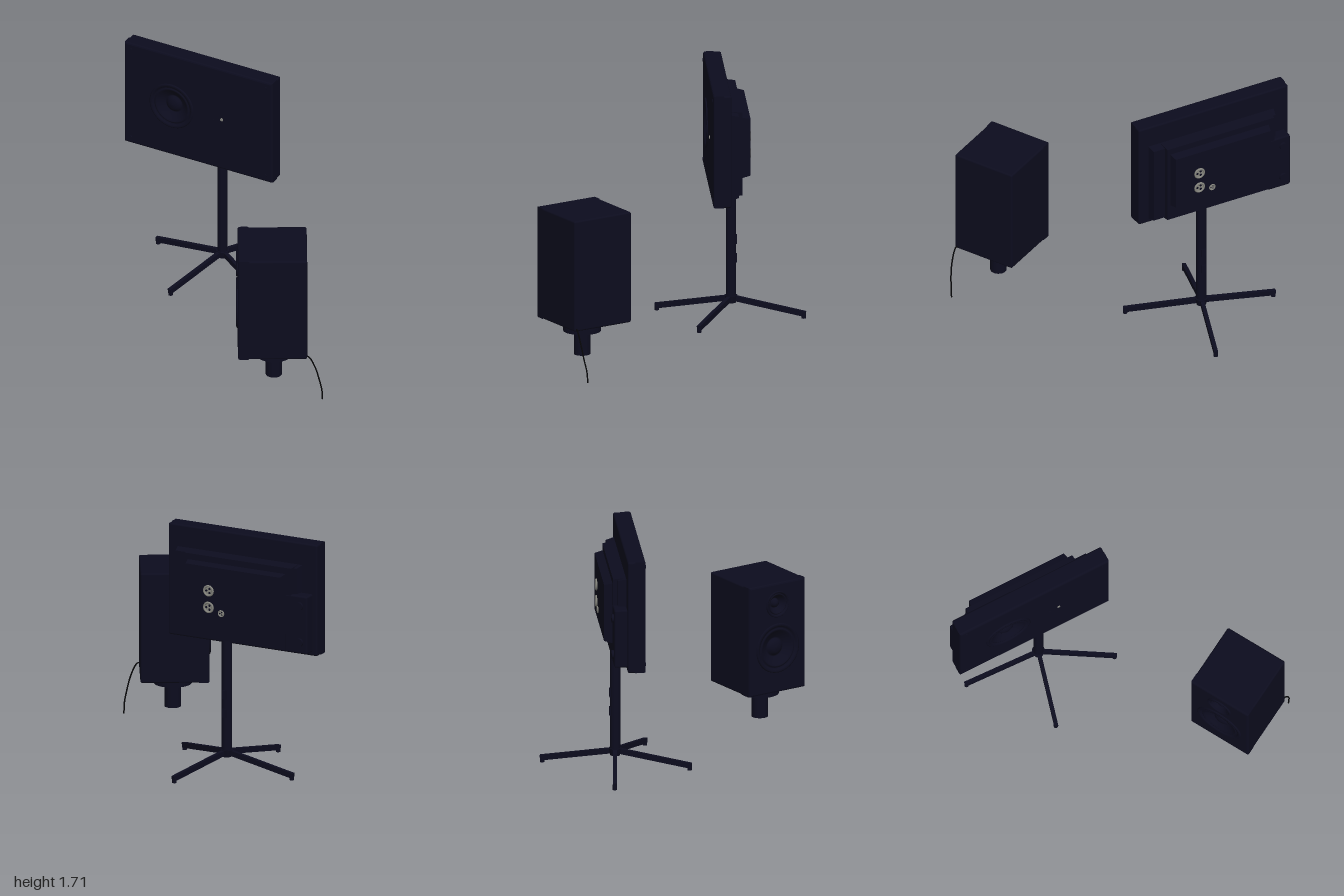
import * as THREE from 'three';
import { RoundedBoxGeometry } from 'three/addons/geometries/RoundedBoxGeometry.js';

const mat = (name, color, side = THREE.FrontSide) => {
  const m = new THREE.MeshStandardMaterial({ color, side });
  m.name = name;
  return m;
};

export function createModel() {
  const navy = mat('dark navy', 0x0c0c1e);
  const black = mat('cable black', 0x060608);
  const metal = mat('grey metal', 0x85857e);
  const model = new THREE.Group();

  const add = (parent, name, geo, material, x = 0, y = 0, z = 0) => {
    const m = new THREE.Mesh(geo, material);
    m.name = name;
    m.position.set(x, y, z);
    parent.add(m);
    return m;
  };
  const group = (name, x, y, z) => {
    const g = new THREE.Group();
    g.name = name;
    g.position.set(x, y, z);
    model.add(g);
    return g;
  };
  // disc whose axis runs along z
  const disc = (r, t, n = 20) => new THREE.CylinderGeometry(r, r, t, n).rotateX(Math.PI / 2);

  // box whose rear (-z) face is drawn in by `inset`
  const taperedBox = (w, h, d, inset) => {
    const g = new THREE.BoxGeometry(w, h, d);
    const p = g.attributes.position;
    for (let i = 0; i < p.count; i++) {
      if (p.getZ(i) < 0) {
        p.setX(i, p.getX(i) - Math.sign(p.getX(i)) * inset);
        p.setY(i, p.getY(i) - Math.sign(p.getY(i)) * inset);
      }
    }
    const flat = g.toNonIndexed();
    flat.computeVertexNormals();
    return flat;
  };

  // round driver facing +z: flange, rolled surround, cone and dust cap
  const driver = (parent, name, r, x, y, z) => {
    const profile = [[1, -0.01], [1, 0.006], [0.95, 0.01], [0.86, 0.006], [0.83, -0.008],
      [0.78, 0.002], [0.72, 0.004], [0.67, -0.008], [0.4, -0.036], [0.34, -0.038],
      [0.3, -0.022], [0.17, -0.012], [0, -0.009]];
    const pts = profile.map(([u, v]) => new THREE.Vector2(u * r, v));
    add(parent, name, new THREE.LatheGeometry(pts, 40).rotateX(Math.PI / 2), navy, x, y, z);
  };

  // cabinet centred on its origin: rounded body plus a front baffle with driver openings
  const cabinet = (parent, name, w, h, d, drivers) => {
    const b = 0.012, hw = w / 2 - b, hh = h / 2 - b;
    const s = new THREE.Shape();
    s.moveTo(-hw, -hh).lineTo(hw, -hh).lineTo(hw, hh).lineTo(-hw, hh).closePath();
    for (const [, r, x, y] of drivers) {
      s.holes.push(new THREE.Path().absarc(x, y, r * 0.97, 0, Math.PI * 2, true));
    }
    const baffle = new THREE.ExtrudeGeometry(s, {
      depth: 0.056, bevelThickness: b, bevelSize: b, bevelSegments: 2, curveSegments: 20,
    });
    add(parent, name + 'Baffle', baffle, navy, 0, 0, d / 2 - 0.068);
    add(parent, name + 'Body', new RoundedBoxGeometry(w, h, d - 0.055, 2, b), navy, 0, 0, -0.0275);
    for (const [label, r, x, y] of drivers) driver(parent, label, r, x, y, d / 2);
  };

  // wide panel cabinet
  const panel = group('panel', -0.44, 1.325, -0.345);
  cabinet(panel, 'panel', 1.12, 0.77, 0.12, [['panelWoofer', 0.165, -0.2, -0.005]]);
  add(panel, 'indicator', disc(0.011, 0.008), metal, 0.18, 0, 0.061);
  add(panel, 'sensor', disc(0.008, 0.006), navy, 0.115, -0.025, 0.061);
  for (const sx of [-1, 1]) {
    for (const sy of [-1, 1]) add(panel, 'cornerScrew', disc(0.012, 0.008, 12), navy, sx * 0.51, sy * 0.34, 0.061);
  }

  // stepped rear housing
  const rear = group('rearHousing', 0, 0, 0);
  add(rear, 'rearBase', taperedBox(0.94, 0.59, 0.06, 0.015), navy, -0.42, 1.265, -0.43);
  add(rear, 'rearStep', taperedBox(0.82, 0.59, 0.09, 0.01), navy, -0.45, 1.265, -0.445);
  add(rear, 'rearCover', taperedBox(0.74, 0.42, 0.065, 0.015), navy, -0.44, 1.3, -0.5125);
  add(rear, 'controlBox', new RoundedBoxGeometry(0.17, 0.4, 0.09, 2, 0.012), navy, -0.885, 1.17, -0.447);
  for (const y of [1.05, 1.3]) add(rear, 'controlKnob', disc(0.028, 0.02), navy, -0.915, y, -0.497);

  // round connectors on the rear cover: metal ring, dark face and pins
  for (const [x, y, r] of [[-0.26, 1.33, 0.04], [-0.26, 1.215, 0.04], [-0.355, 1.185, 0.024]]) {
    const c = group('connector', x, y, -0.545);
    add(c, 'connectorRing', new THREE.TorusGeometry(r * 0.82, r * 0.18, 8, 24), metal, 0, 0, -0.004);
    add(c, 'connectorFace', disc(r * 0.8, 0.008), metal);
    for (let i = 0; i < 3; i++) {
      const a = i * Math.PI * 2 / 3;
      add(c, 'connectorHole', disc(r * 0.2, 0.004, 10), navy, r * 0.4 * Math.cos(a), r * 0.4 * Math.sin(a), -0.004);
    }
  }

  // pole stand with four sloping legs
  const stand = group('stand', -0.335, 0, -0.43);
  add(stand, 'pole', new THREE.CylinderGeometry(0.034, 0.034, 0.87, 24), navy, 0, 0.615, 0);
  add(stand, 'hub', new THREE.CylinderGeometry(0.043, 0.033, 0.05, 24), navy, 0, 0.19, 0);
  for (const y of [0.47, 0.6]) add(stand, 'cableClip', new THREE.BoxGeometry(0.03, 0.06, 0.012), navy, 0, y, -0.033);
  for (const [x, z] of [[0.145, -0.49], [-0.13, 0.5], [0.46, 0.245], [-0.53, -0.05]]) {
    const len = Math.hypot(x, z);
    const leg = new THREE.Group();
    leg.name = 'leg';
    leg.rotation.y = Math.atan2(x, z);
    stand.add(leg);
    const bar = add(leg, 'legBar', new THREE.BoxGeometry(0.026, 0.036, len), navy, 0, 0.157, len / 2);
    bar.rotation.x = Math.atan2(0.085, len);
    add(leg, 'foot', new THREE.CylinderGeometry(0.015, 0.015, 0.035, 12), navy, 0, 0.103, len - 0.016);
  }

  // upright two-way speaker, turned toward the panel's right
  const speaker = group('speaker', 0.615, 0.71, 0.605);
  speaker.rotation.y = -1.056;
  cabinet(speaker, 'speaker', 0.45, 0.76, 0.46, [
    ['speakerWoofer', 0.17, 0, -0.07],
    ['speakerTweeter', 0.09, 0, 0.235],
  ]);

  // pole socket under the speaker
  const socket = group('socket', 0.635, 0, 0.62);
  add(socket, 'socketFlange', new THREE.CylinderGeometry(0.127, 0.127, 0.075, 32), navy, 0, 0.3, 0);
  add(socket, 'socketTube', new THREE.CylinderGeometry(0.055, 0.055, 0.18, 24), navy, 0, 0.19, 0);

  // hanging cable
  const path = new THREE.CatmullRomCurve3([
    [0.9, 0.35, 0.68], [0.93, 0.34, 0.67], [0.965, 0.26, 0.65], [0.985, 0.16, 0.63], [0.994, 0.07, 0.61], [0.994, 0, 0.605],
  ].map((p) => new THREE.Vector3(...p)));
  add(model, 'cable', new THREE.TubeGeometry(path, 32, 0.005, 8), black);

  return model;
}
